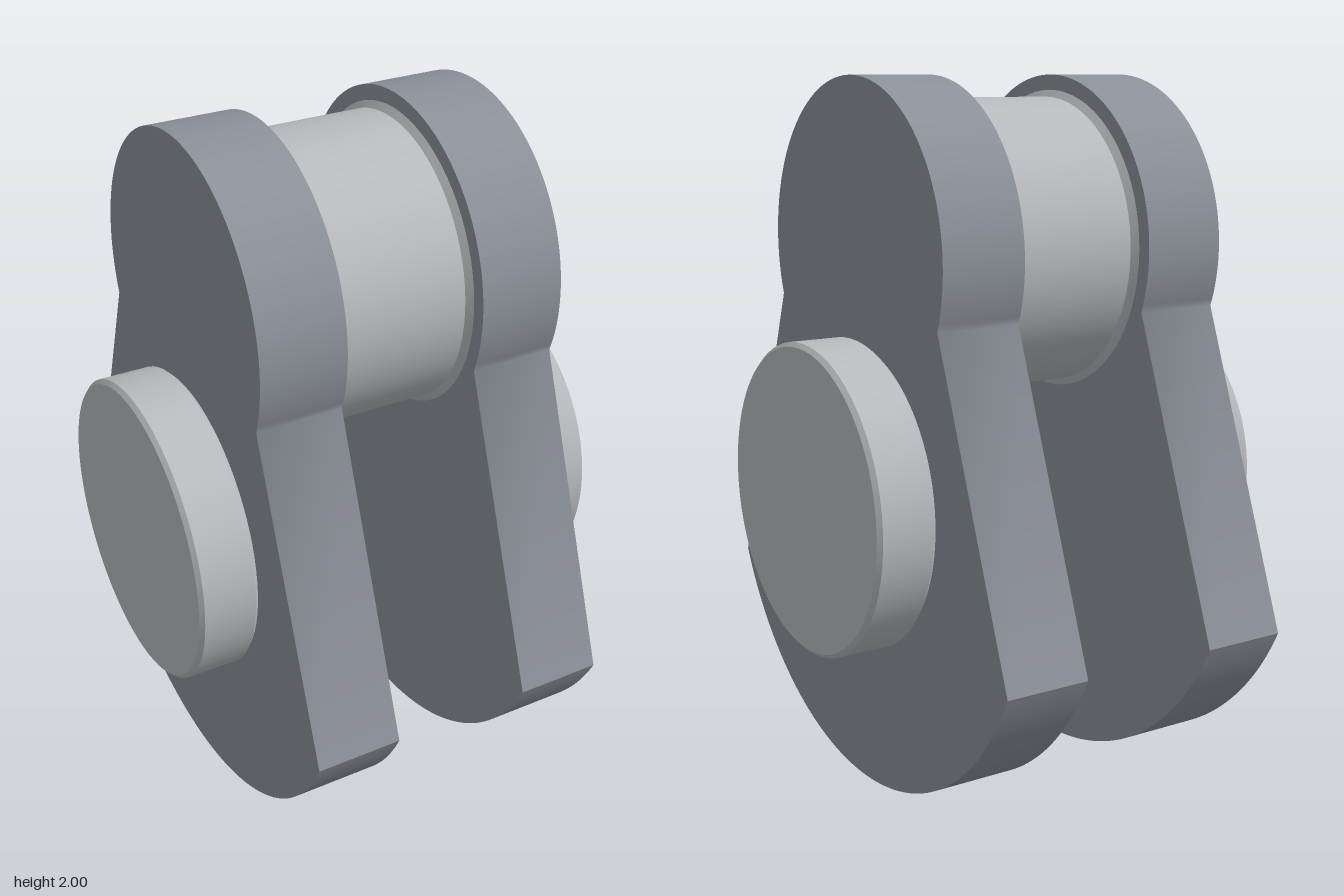
import * as THREE from 'three';
import { toCreasedNormals } from 'three/addons/utils/BufferGeometryUtils.js';

const CRANK_Y = 1.527, CRANK_R = 0.473; // rounded top of the webs
const MAIN_Y = 0.85, WEB_R = 0.85;      // shaft axis and counterweight radius
const WEB_IN = 0.202, WEB_OUT = 0.448, END = 0.622;

// Solid of revolution about the x axis from [x, radius] pairs
function turned(profile, y, material, name) {
  const points = profile.map(([x, r]) => new THREE.Vector2(r, x));
  const geometry = new THREE.LatheGeometry(points, 72);
  geometry.rotateZ(-Math.PI / 2);
  const mesh = new THREE.Mesh(toCreasedNormals(geometry, 0.5), material);
  mesh.position.y = y;
  mesh.name = name;
  return mesh;
}

// Web outline: round head, straight flanks, counterweight arc
function webGeometry() {
  const head = -0.35;
  const foot = Math.asin((0.49 - MAIN_Y) / WEB_R);
  const shape = new THREE.Shape();
  shape.absarc(0, CRANK_Y, CRANK_R, head, Math.PI - head, false);
  shape.absarc(0, MAIN_Y, WEB_R, Math.PI - foot, 2 * Math.PI + foot, false);
  shape.closePath();
  const geometry = new THREE.ExtrudeGeometry(shape, {
    depth: WEB_OUT - WEB_IN, bevelEnabled: false, curveSegments: 40,
  });
  geometry.translate(0, 0, -(WEB_OUT - WEB_IN) / 2);
  geometry.rotateY(Math.PI / 2);
  return toCreasedNormals(geometry, 0.8);
}

export function createModel() {
  const group = new THREE.Group();
  group.name = 'crankThrow';
  const webSteel = new THREE.MeshStandardMaterial({ color: 0x8c9099 });
  webSteel.name = 'web steel';
  const polished = new THREE.MeshStandardMaterial({ color: 0xb8babd });
  polished.name = 'polished steel';

  const web = webGeometry();
  for (const side of [-1, 1]) {
    const label = side > 0 ? 'left' : 'right';
    const cheek = new THREE.Mesh(web, webSteel);
    cheek.position.x = side * (WEB_IN + WEB_OUT) / 2;
    cheek.name = label + 'Web';
    group.add(cheek);

    // Main journal with small chamfers at both ends
    const half = (END - WEB_OUT) / 2, c = 0.012, r = 0.44;
    const journal = turned([
      [-half, 0], [-half, r - c], [-half + c, r], [half - c, r], [half, r - c], [half, 0],
    ], MAIN_Y, polished, label + 'Journal');
    journal.position.x = side * (WEB_OUT + half);
    group.add(journal);
  }

  // Crank pin flaring slightly where it meets the webs
  group.add(turned([
    [-WEB_IN, 0.43], [-0.187, 0.411], [0.187, 0.411], [WEB_IN, 0.43],
  ], CRANK_Y, polished, 'crankPin'));
  return group;
}
